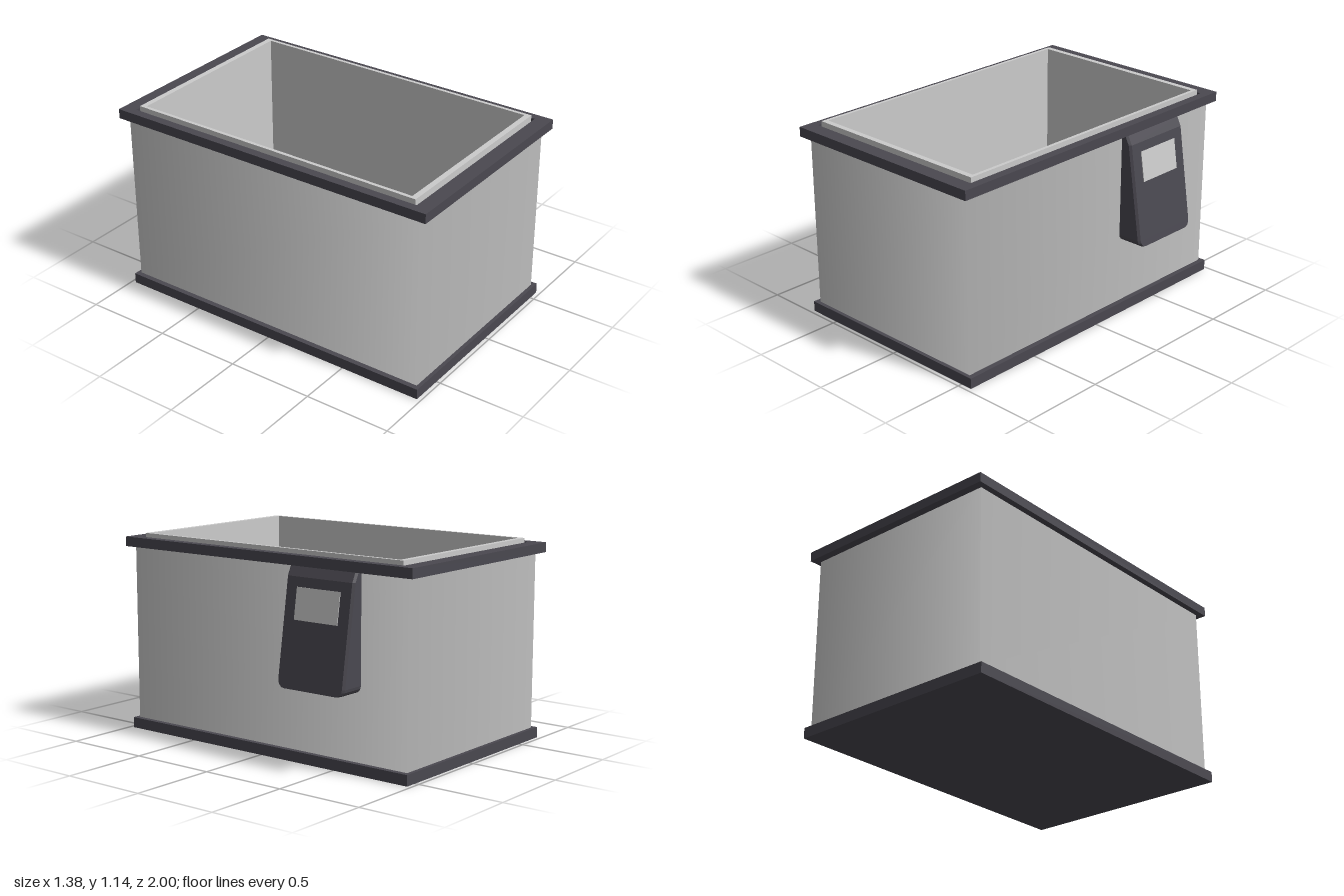
import * as THREE from 'three';

const CX = -0.06; // the tank sits slightly off centre to leave room for the control box

const grey = new THREE.MeshStandardMaterial({ color: 0xcccccc });
const dark = new THREE.MeshStandardMaterial({ color: 0x4a4850 });

function addMesh(group, name, geometry, material) {
  const mesh = new THREE.Mesh(geometry, material);
  mesh.name = name;
  group.add(mesh);
}

function rectangle(path, hw, hd) {
  path.moveTo(-hw, -hd);
  path.lineTo(hw, -hd);
  path.lineTo(hw, hd);
  path.lineTo(-hw, hd);
  path.closePath();
  return path;
}

// Rectangular ring lying flat between heights y0 and y1
function frame(outer, inner, y0, y1) {
  const shape = rectangle(new THREE.Shape(), ...outer);
  shape.holes.push(rectangle(new THREE.Path(), ...inner));
  const geo = new THREE.ExtrudeGeometry(shape, { depth: y1 - y0, bevelEnabled: false });
  return geo.rotateX(-Math.PI / 2).translate(CX, y0, 0);
}

function slab(hw, hd, y0, y1) {
  return new THREE.BoxGeometry(hw * 2, y1 - y0, hd * 2).translate(CX, (y0 + y1) / 2, 0);
}

// Four-sided shell whose shading runs smoothly around the corners
function shell(hw, hd, y0, y1) {
  const geo = new THREE.CylinderGeometry(Math.SQRT2, Math.SQRT2, y1 - y0, 4, 1, true);
  geo.rotateY(Math.PI / 4);
  const normals = geo.attributes.normal.clone();
  geo.scale(hw, 1, hd).translate(CX, (y0 + y1) / 2, 0);
  geo.setAttribute('normal', normals);
  return geo;
}

// Sloping front of the control box: x for a given height
const frontX = (y) => (y > 1.01 ? 0.6 - (y - 1.01) * 0.5 : 0.6 + (1.01 - y) * 0.155);

// Control box lofted through horizontal sections, with rounded lower corners
function controlBox(zc, halfWidth, yBottom, yTop) {
  const r = 0.04, c = 0.012;
  const levels = [];
  for (let i = 0; i <= 4; i++) {
    const a = (i / 4) * Math.PI / 2;
    levels.push([yBottom + r * (1 - Math.cos(a)), halfWidth - r * (1 - Math.sin(a))]);
  }
  levels.push([1.01, halfWidth], [yTop, halfWidth]);
  const rings = levels.map(([y, h]) => {
    const x = frontX(y);
    return [[0.53, h], [x - c, h], [x, h - c], [x, c - h], [x - c, -h], [0.53, -h]]
      .map(([px, pz]) => [px, y, zc + pz]);
  });
  const pos = [];
  const tri = (...points) => points.forEach((p) => pos.push(...p));
  for (let i = 0; i < rings.length - 1; i++) {
    const lo = rings[i], hi = rings[i + 1];
    for (let j = 0; j < 6; j++) {
      const k = (j + 1) % 6;
      tri(lo[j], lo[k], hi[k]);
      tri(lo[j], hi[k], hi[j]);
    }
  }
  const first = rings[0], last = rings[rings.length - 1];
  for (let j = 1; j < 5; j++) {
    tri(first[0], first[j + 1], first[j]);
    tri(last[0], last[j], last[j + 1]);
  }
  const geo = new THREE.BufferGeometry();
  geo.setAttribute('position', new THREE.Float32BufferAttribute(pos, 3));
  geo.computeVertexNormals();
  return geo;
}

export function createModel() {
  const model = new THREE.Group();
  model.name = 'waterBath';

  // Base plate and outer casing
  addMesh(model, 'base', slab(0.63, 0.977, 0, 0.06), dark);
  addMesh(model, 'casing', shell(0.6, 0.955, 0.06, 1.06), grey);

  // Top rim with a sunken joint around the liner
  addMesh(model, 'rim', frame([0.635, 1], [0.585, 0.915], 1.06, 1.115), dark);
  addMesh(model, 'rimJoint', frame([0.59, 0.92], [0.57, 0.895], 1.06, 1.09), dark);

  // Open inner basin
  addMesh(model, 'liner', frame([0.573, 0.9], [0.553, 0.868], 0.07, 1.137), grey);
  addMesh(model, 'linerFloor', slab(0.56, 0.88, 0.06, 0.08), grey);

  // Control box on the side, with a display set into its slope
  const control = new THREE.Group();
  control.name = 'control';
  addMesh(control, 'controlBox', controlBox(-0.437, 0.222, 0.43, 1.06), dark);
  const display = new THREE.BoxGeometry(0.008, 0.172, 0.285);
  display.rotateZ(Math.atan(0.155)).translate(frontX(0.873), 0.873, -0.437);
  addMesh(control, 'display', display, grey);
  model.add(control);

  return model;
}
